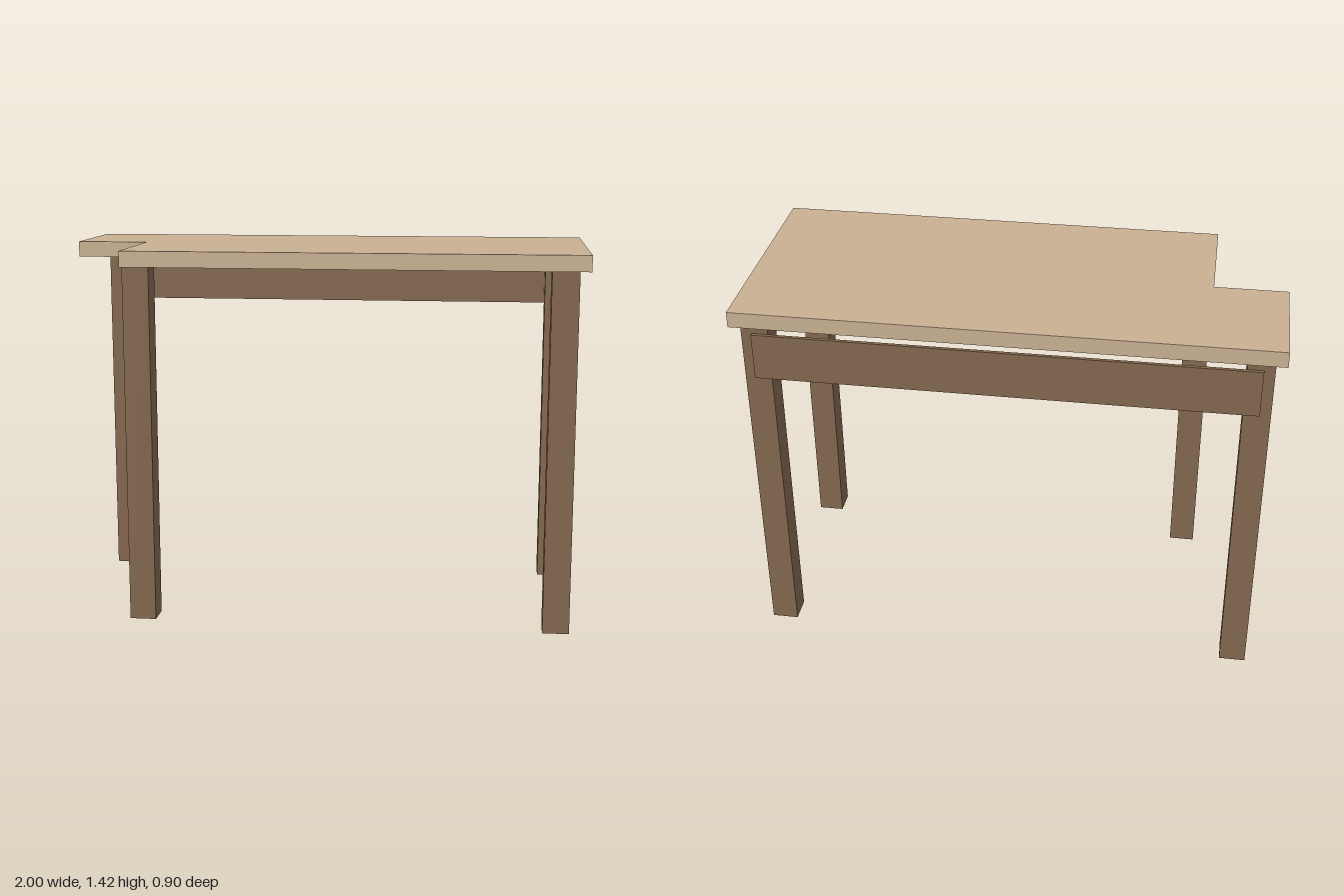
import * as THREE from 'three';

export function createModel() {
  const table = new THREE.Group();
  table.name = 'table';

  const lightWood = new THREE.MeshStandardMaterial({ color: 0xc8b092 });
  lightWood.name = 'light wood';
  const darkWood = new THREE.MeshStandardMaterial({ color: 0x82664e });
  darkWood.name = 'dark wood';

  const legHeight = 1.36, legWidth = 0.1, topThickness = 0.06;

  const add = (name, geometry, material, x, y, z) => {
    const mesh = new THREE.Mesh(geometry, material);
    mesh.name = name;
    mesh.position.set(x, y, z);
    table.add(mesh);
    return mesh;
  };

  // Table top with a notch in the front corner; shape y becomes -z once laid flat
  const outline = new THREE.Shape([
    [-1, 0.45], [-1, 0], [-0.725, 0], [-0.725, -0.45], [1, -0.45], [1, 0.45],
  ].map(([x, y]) => new THREE.Vector2(x, y)));
  const topGeometry = new THREE.ExtrudeGeometry(outline, { depth: topThickness, bevelEnabled: false });
  topGeometry.rotateX(-Math.PI / 2);
  add('tableTop', topGeometry, lightWood, 0, legHeight, 0);

  // Four square legs, the front right one moved in beside the notch
  const legGeometry = new THREE.BoxGeometry(legWidth, legHeight, legWidth);
  const legs = {
    frontLeftLeg: [0.91, 0.38],
    frontRightLeg: [-0.67, 0.38],
    backLeftLeg: [0.91, -0.38],
    backRightLeg: [-0.91, -0.38],
  };
  for (const [name, [x, z]] of Object.entries(legs)) {
    add(name, legGeometry, darkWood, x, legHeight / 2, z);
  }

  // Thin board fixed across the back of the rear legs
  add('backBoard', new THREE.BoxGeometry(1.84, 0.18, 0.014), darkWood, 0, 1.24, -0.437);

  return table;
}
